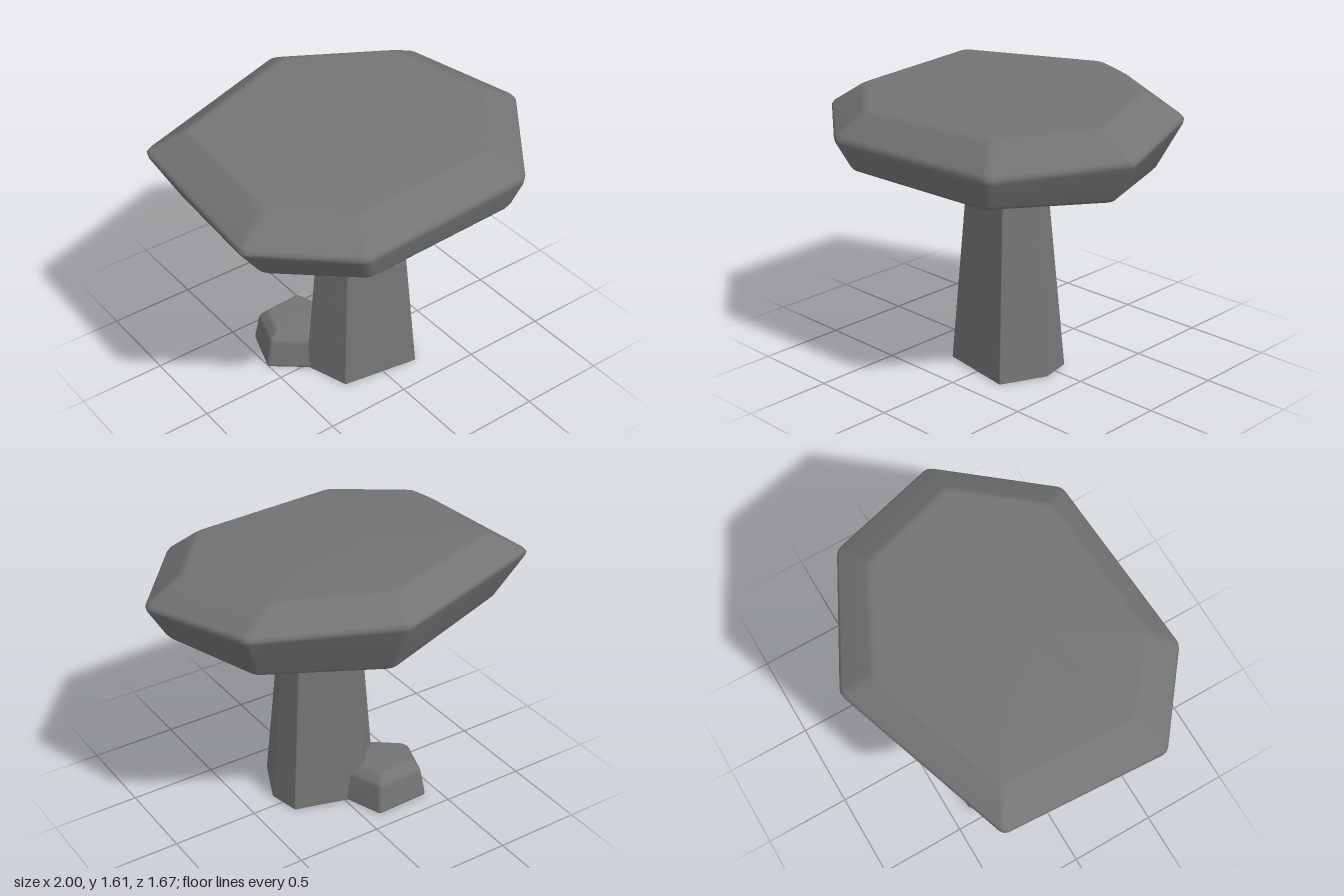
import * as THREE from 'three';

const toward = (p, q, d) => {
  const len = p.distanceTo(q);
  return len < 1e-6 ? p.clone() : p.clone().lerp(q, Math.min(d / len, 0.4));
};
// Bevel one point between two neighbours into three points
const round = (prev, p, next, d) => {
  const a = toward(p, prev, d), b = toward(p, next, d);
  return [a, p.clone().multiplyScalar(0.5).addScaledVector(a, 0.25).addScaledVector(b, 0.25), b];
};

// Closed stone from rings listed bottom to top (clockwise from above), with softly bevelled edges
function stone(name, rings, bevel, material) {
  const soft = rings.map((ring) => ring.flatMap((p, i) =>
    round(ring.at(i - 1), p, ring[(i + 1) % ring.length], bevel)));
  const n = soft[0].length;
  const centre = (ring) => {
    const c = new THREE.Vector3();
    ring.forEach((p) => c.addScaledVector(p, 1 / n));
    return ring.map(() => c.clone());
  };
  const all = [centre(soft[0]), ...soft, centre(soft.at(-1))];
  const rows = [all[0]];
  for (let i = 1; i < all.length - 1; i++) {
    const trio = all[i].map((p, j) => round(all[i - 1][j], p, all[i + 1][j], bevel));
    for (let k = 0; k < 3; k++) rows.push(trio.map((t) => t[k]));
  }
  rows.push(all.at(-1));

  const index = [];
  for (let i = 0; i < rows.length - 1; i++) {
    for (let j = 0; j < n; j++) {
      const k = (j + 1) % n;
      const a = i * n + k, b = i * n + j, c = b + n, d = a + n;
      if (i > 0) index.push(a, b, c);
      if (i === 0) index.push(a, c, d);
      else if (i < rows.length - 2) index.push(a, c, d);
    }
  }
  const geometry = new THREE.BufferGeometry().setFromPoints(rows.flat());
  geometry.setIndex(index);
  geometry.computeVertexNormals();
  const mesh = new THREE.Mesh(geometry, material);
  mesh.name = name;
  return mesh;
}

// Ring from [x, z] corners, with height as a function of z
const ring = (corners, height) => corners.map(([x, z]) => new THREE.Vector3(x, height(z), z));

export function createModel() {
  const model = new THREE.Group();
  model.name = 'balancedRock';
  const grey = new THREE.MeshStandardMaterial({ color: 0x737574 });
  grey.name = 'stoneGrey';

  // Seven-sided capstone with a tilted top
  const under = [[0.06, -0.70], [0.68, -0.37], [0.87, 0.20], [0.49, 0.73], [-0.46, 0.77], [-0.86, 0.42], [-0.83, -0.39]];
  const rim = [[0.07, -0.85], [0.80, -0.475], [1.01, 0.19], [0.56, 0.78], [-0.535, 0.84], [-1.015, 0.455], [-0.98, -0.495]];
  const top = [[0.03, -0.66], [0.60, -0.375], [0.78, 0.19], [0.435, 0.625], [-0.445, 0.68], [-0.81, 0.37], [-0.78, -0.385]];
  model.add(stone('capstone', [
    ring(under, () => 1.185),
    ring(rim, (z) => 1.37 + (0.77 - z) * 0.085),
    ring(top, (z) => 1.517 + (0.65 - z) * 0.075),
  ], 0.03, grey));

  // Tapering six-sided pillar
  const foot = [[-0.24, 0.27], [-0.325, 0.01], [-0.12, -0.215], [0.29, -0.10], [0.328, 0.08], [0.21, 0.342]];
  const neck = foot.map(([x, z]) => [x * 0.68, z * 0.62 + 0.03]);
  model.add(stone('pillar', [ring(foot, () => 0), ring(neck, () => 1.22)], 0.006, grey));

  // Small boulder leaning on the back of the pillar
  const base = [[-0.30, 0.05], [-0.51, -0.12], [-0.42, -0.39], [-0.09, -0.40], [0, -0.155]];
  const shrink = (s) => base.map(([x, z]) => [-0.25 + (x + 0.25) * s, -0.19 + (z + 0.19) * s]);
  model.add(stone('boulder', [
    ring(base, () => 0),
    ring(shrink(0.87), () => 0.17),
    ring(shrink(0.66), (z) => 0.215 - z * 0.02),
  ], 0.015, grey));

  return model;
}
